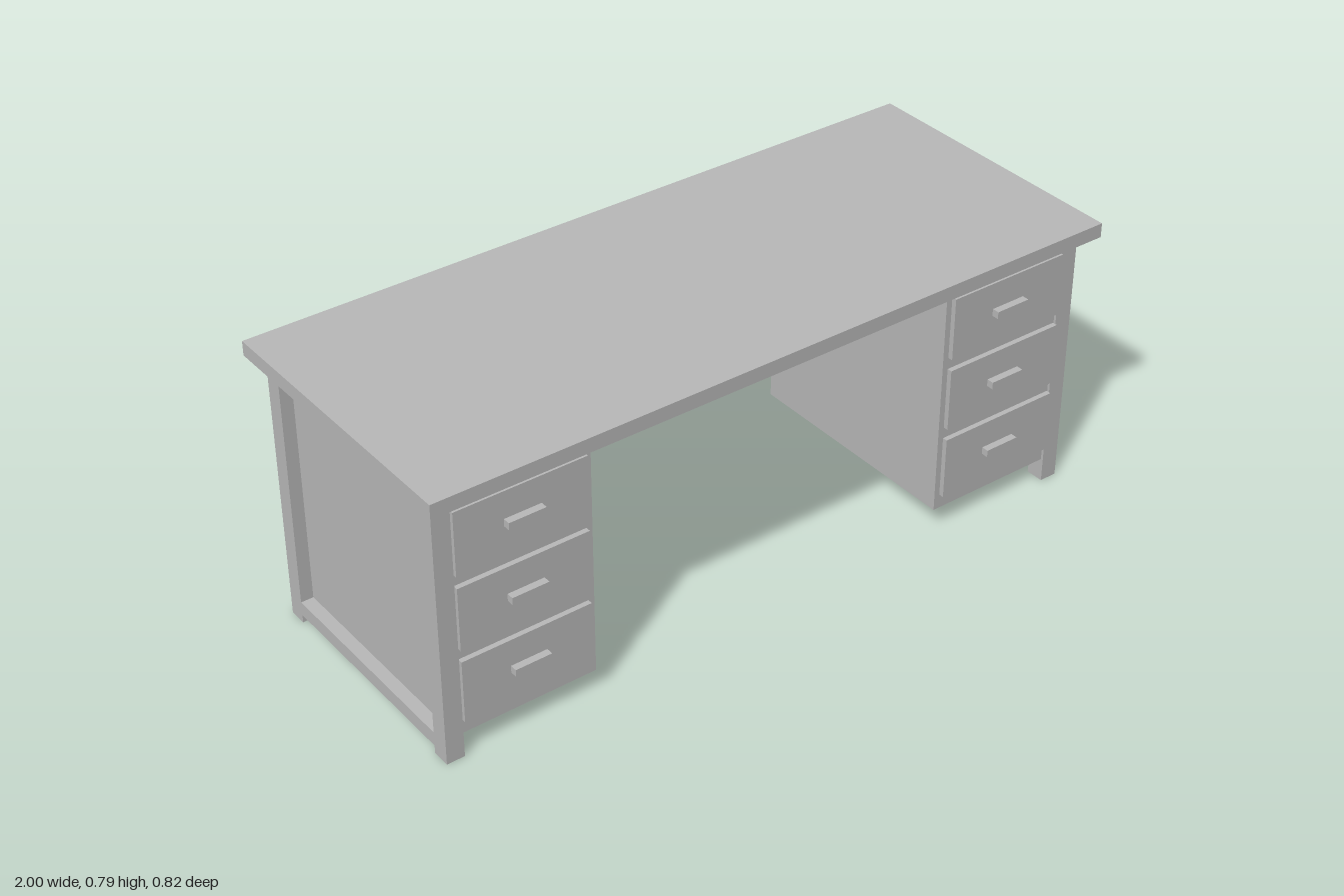
import * as THREE from 'three';

export function createModel() {
  const desk = new THREE.Group();
  desk.name = 'desk';
  const grey = new THREE.MeshStandardMaterial({ color: 0xb8b8b8 });
  grey.name = 'grey';

  // Box given by its extents along each axis
  function box(parent, name, [x0, x1], [y0, y1], [z0, z1]) {
    const mesh = new THREE.Mesh(new THREE.BoxGeometry(x1 - x0, y1 - y0, z1 - z0), grey);
    mesh.position.set((x0 + x1) / 2, (y0 + y1) / 2, (z0 + z1) / 2);
    mesh.name = name;
    parent.add(mesh);
  }

  // Table top and back modesty panel
  box(desk, 'tableTop', [-1, 1], [0.75, 0.79], [-0.409, 0.409]);
  box(desk, 'backPanel', [-0.92, 0.92], [0.265, 0.75], [-0.348, -0.308]);

  // Mirrored drawer pedestals with their side frames
  for (const side of [-1, 1]) {
    const span = (a, b) => (side > 0 ? [a, b] : [-b, -a]);
    const pedestal = new THREE.Group();
    pedestal.name = side > 0 ? 'leftPedestal' : 'rightPedestal';
    desk.add(pedestal);

    box(pedestal, 'cabinet', span(0.538, 0.92), [0.065, 0.75], [-0.33, 0.35]);
    box(pedestal, 'sidePanel', span(0.92, 0.935), [0.063, 0.75], [-0.305, 0.306]);
    box(pedestal, 'lowerRail', span(0.92, 0.97), [0.023, 0.063], [-0.305, 0.306]);
    box(pedestal, 'frontLeg', span(0.92, 0.97), [0, 0.75], [0.306, 0.357]);
    box(pedestal, 'backLeg', span(0.92, 0.97), [0, 0.75], [-0.356, -0.305]);

    // Three drawers with bar handles
    for (const y of [0.196, 0.407, 0.618]) {
      box(pedestal, 'drawerFront', span(0.555, 0.918), [y - 0.089, y + 0.089], [0.35, 0.364]);
      box(pedestal, 'drawerHandle', span(0.684, 0.786), [y - 0.006, y + 0.014], [0.364, 0.384]);
    }
  }
  return desk;
}
